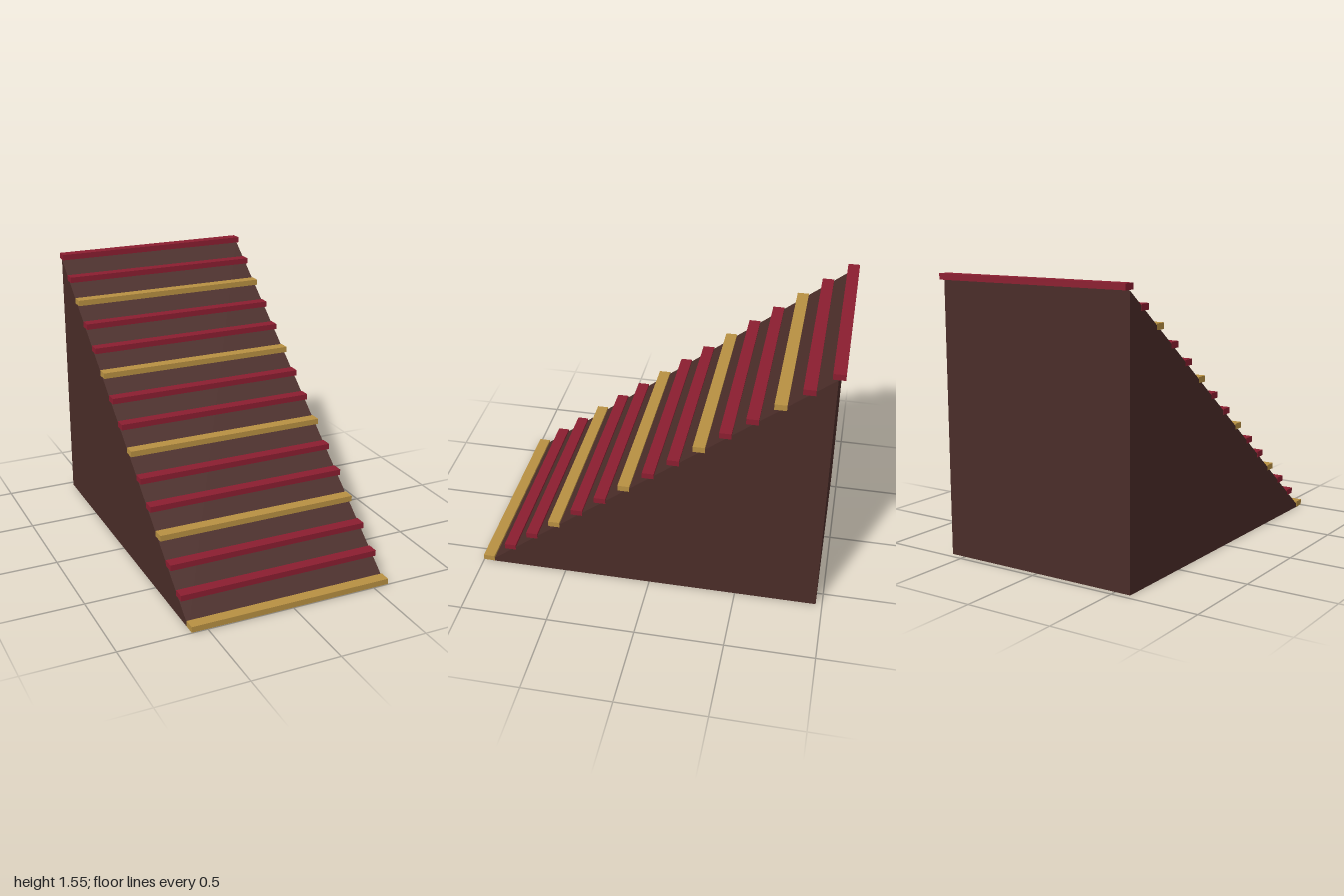
import * as THREE from 'three';

const WIDTH = 1.18, COUNT = 15, RUN = 0.967, RISE = 1.515;
const TREAD_HEIGHT = 0.033, TREAD_DEPTH = 0.066;

export function createModel() {
  const group = new THREE.Group();
  const material = (color) => new THREE.MeshStandardMaterial({ color });
  const wood = material(0x4a2c28), red = material(0x8b1e30), gold = material(0xb89042);

  // Solid wedge: side profile (x = depth, y = height) extruded across the width
  const profile = new THREE.Shape([
    new THREE.Vector2(-RUN + 0.007, 0),
    new THREE.Vector2(RUN - 0.003, 0),
    new THREE.Vector2(RUN - 0.003, RISE),
  ]);
  const wedgeGeometry = new THREE.ExtrudeGeometry(profile, { depth: WIDTH, bevelEnabled: false });
  wedgeGeometry.translate(0, 0, -WIDTH / 2).rotateY(Math.PI / 2);
  const wedge = new THREE.Mesh(wedgeGeometry, wood);
  wedge.name = 'rampBody';
  group.add(wedge);

  // Tread slats up the slope, every third one gold
  const treadGeometry = new THREE.BoxGeometry(WIDTH + 0.002, TREAD_HEIGHT, TREAD_DEPTH);
  for (let i = 0; i < COUNT; i++) {
    const t = i / (COUNT - 1);
    const tread = new THREE.Mesh(treadGeometry, i % 3 === 0 ? gold : red);
    tread.position.set(0, 0.0185 + RISE * t, RUN * (1 - 2 * t));
    tread.name = `tread${i + 1}`;
    group.add(tread);
  }
  return group;
}
